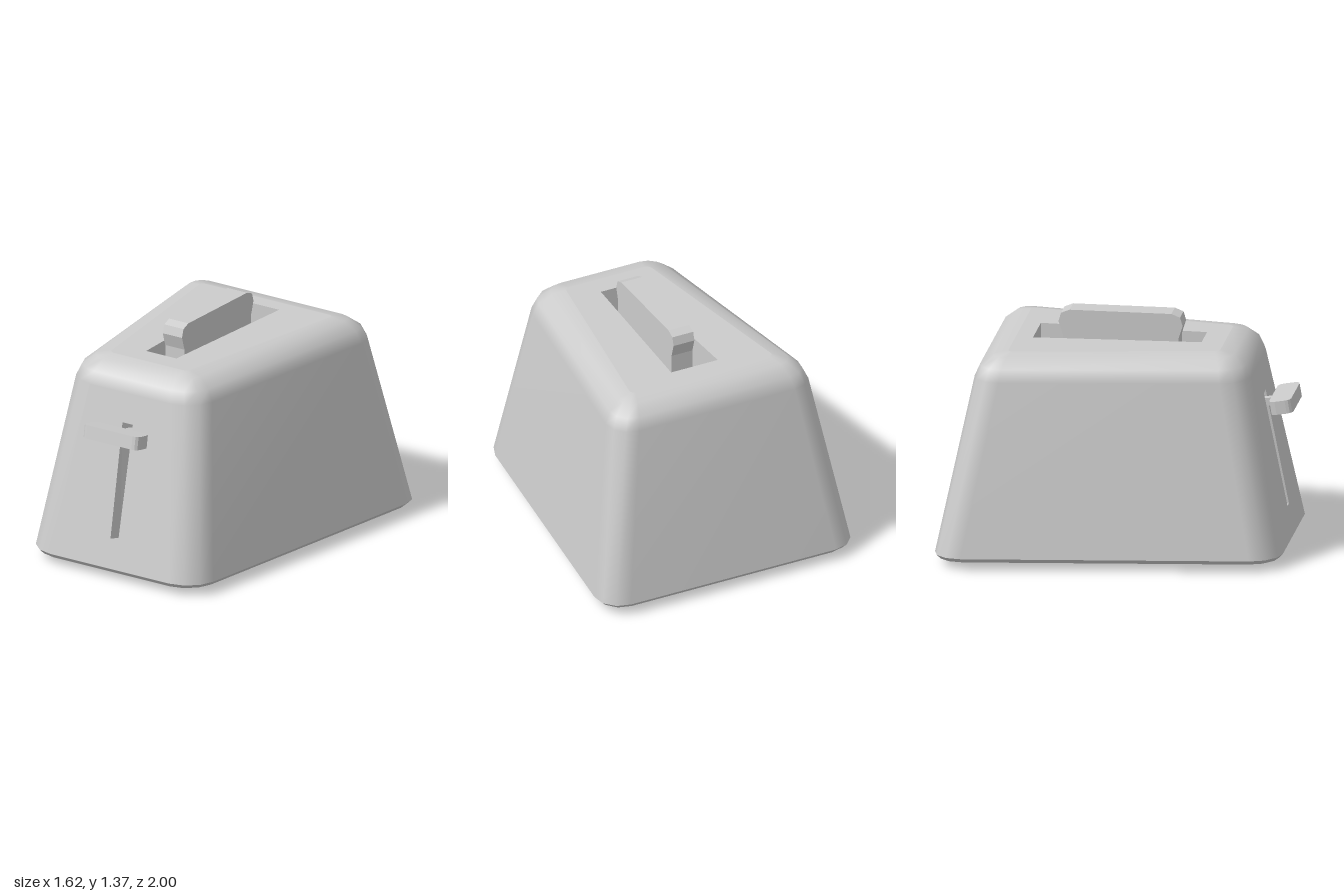
import * as THREE from 'three';

const grey = new THREE.MeshStandardMaterial({ color: 0xcccccc });
const greyBoth = new THREE.MeshStandardMaterial({ color: 0xcccccc, side: THREE.DoubleSide });

function part(name, geometry, material = grey) {
  const mesh = new THREE.Mesh(geometry, material);
  mesh.name = name;
  return mesh;
}

const toPoints = (list) => list.map(([x, y]) => new THREE.Vector2(x, y));

// Rounded trapezoid [x, z] loop: counter-clockwise from above, starting at the front left corner
function section({ back, front, zBack, zFront, r }, steps = 3) {
  const corners = toPoints([[front, zFront], [back, zBack], [-back, zBack], [-front, zFront]]);
  const loop = [];
  corners.forEach((p, i) => {
    const a = corners[(i + 3) % 4].clone().sub(p).normalize();
    const b = corners[(i + 1) % 4].clone().sub(p).normalize();
    for (let k = 0; k <= steps; k++) {
      const t = (k / steps) * Math.PI / 2;
      loop.push(p.clone().addScaledVector(a, r * (1 - Math.sin(t))).addScaledVector(b, r * (1 - Math.cos(t))));
    }
  });
  return loop;
}

// Skin between stacked sections; openBands lists the bands whose front face is left out
function loft(loops, heights, openBands = []) {
  const n = loops[0].length;
  const pos = [], all = [], kept = [];
  loops.forEach((loop, i) => loop.forEach((p) => pos.push(p.x, heights[i], p.y)));
  for (let i = 0; i < loops.length - 1; i++) {
    for (let j = 0; j < n; j++) {
      const a = i * n + j, b = i * n + (j + 1) % n;
      const quad = [a, b, b + n, a, b + n, a + n];
      all.push(...quad);
      if (!(openBands.includes(i) && j === n - 1)) kept.push(...quad);
    }
  }
  const g = new THREE.BufferGeometry();
  g.setAttribute('position', new THREE.Float32BufferAttribute(pos, 3));
  g.setIndex(all);
  g.computeVertexNormals();
  g.setIndex(kept);
  return g;
}

// Flat panel in local XY with a recess going back along -z to a narrower floor
function panelWithSlot(name, outline, mouth, floor, depth) {
  const group = new THREE.Group();
  group.name = name;
  const shape = new THREE.Shape(outline);
  shape.holes.push(new THREE.Path(mouth));
  group.add(part(name + 'Face', new THREE.ShapeGeometry(shape)));

  const pos = [];
  mouth.forEach((p, i) => {
    const k = (i + 1) % mouth.length, q = mouth[k], c = floor[i], d = floor[k];
    pos.push(p.x, p.y, 0, d.x, d.y, -depth, q.x, q.y, 0);
    pos.push(p.x, p.y, 0, c.x, c.y, -depth, d.x, d.y, -depth);
  });
  const walls = new THREE.BufferGeometry();
  walls.setAttribute('position', new THREE.Float32BufferAttribute(pos, 3));
  walls.computeVertexNormals();
  const base = part(name + 'SlotFloor', new THREE.ShapeGeometry(new THREE.Shape(floor)), greyBoth);
  base.position.z = -depth;
  group.add(part(name + 'SlotWalls', walls, greyBoth), base);
  return group;
}

export function createModel() {
  const model = new THREE.Group();

  // Body: tapered shell with a rounded shoulder
  const base = { back: 0.83, front: 0.585, zBack: -1, zFront: 0.98, r: 0.17 };
  const ring = (side, end, r) => section({
    back: base.back - side, front: base.front - side * 0.85,
    zBack: base.zBack + end, zFront: base.zFront - end, r,
  });
  const heights = [0.07, 1.08, 1.15, 1.205, 1.22];
  const rings = [
    ring(0, 0, 0.17), ring(0.17, 0.205, 0.16), ring(0.205, 0.235, 0.14),
    ring(0.28, 0.305, 0.09), ring(0.37, 0.39, 0.03),
  ];
  model.add(part('bodyShell', loft(rings, heights, [0])));

  // Underside with a small bevelled lip
  const under = ring(0.025, 0.02, 0.16);
  model.add(part('baseLip', loft([under, rings[0]], [0.045, 0.07])));
  const bottom = part('underside', new THREE.ShapeGeometry(new THREE.Shape(under)));
  bottom.rotation.x = Math.PI / 2;
  bottom.position.y = 0.045;
  model.add(bottom);

  // Top with the bread slot
  const breadSlot = toPoints([[-0.105, -0.46], [0.105, -0.46], [0.15, 0.51], [-0.15, 0.51]]);
  const topOutline = rings[4].map((p) => new THREE.Vector2(p.x, -p.y));
  const top = panelWithSlot('top', topOutline, breadSlot, breadSlot, 0.7);
  top.rotation.x = -Math.PI / 2;
  top.position.y = 1.22;
  model.add(top);

  // Sloping front with the lever groove
  const rise = heights[1] - heights[0];
  const tilt = Math.atan2(0.205, rise);
  const up = (y) => (y - heights[0]) / Math.cos(tilt);
  const w0 = rings[0][0].x, w1 = rings[1][0].x;
  const frontOutline = toPoints([[-w0, 0], [w0, 0], [w1, up(1.08)], [-w1, up(1.08)]]);
  const groove = toPoints([[-0.018, up(0.24)], [0.036, up(0.24)], [0.044, up(0.91)], [-0.028, up(0.91)]]);
  const grooveFloor = toPoints([[-0.004, up(0.24)], [0.022, up(0.24)], [0.022, up(0.91)], [-0.004, up(0.91)]]);
  const front = panelWithSlot('front', frontOutline, groove, grooveFloor, 0.08);
  front.rotation.x = -tilt;
  front.position.set(0, heights[0], 0.98);
  model.add(front);

  // Lever: rounded knob on a short stem, square to the sloping front
  const lever = new THREE.Group();
  lever.name = 'lever';
  const w = 0.192, d = 0.065;
  const knobShape = new THREE.Shape(section({ back: w, front: w, zBack: -d, zFront: d, r: 0.035 }));
  const knobGeo = new THREE.ExtrudeGeometry(knobShape, { depth: 0.078, bevelEnabled: false });
  knobGeo.translate(0, 0, -0.039).rotateX(-Math.PI / 2);
  const stem = part('leverStem', new THREE.BoxGeometry(0.045, 0.045, 0.14));
  stem.position.z = -0.12;
  lever.add(part('leverKnob', knobGeo), stem);
  lever.rotation.x = -0.17;
  lever.position.set(0.008, 0.872, 0.93);
  model.add(lever);

  // Bread slice standing in the slot
  const slice = new THREE.Shape(toPoints([
    [-0.35, 0.6], [0.32, 0.6], [0.32, 1.22], [0.345, 1.3], [0.33, 1.35], [0.28, 1.37],
    [-0.31, 1.37], [-0.36, 1.35], [-0.375, 1.3], [-0.35, 1.22],
  ]));
  const sliceGeo = new THREE.ExtrudeGeometry(slice, { depth: 0.134, bevelEnabled: false });
  sliceGeo.rotateY(-Math.PI / 2).translate(0.065, 0, 0);
  model.add(part('breadSlice', sliceGeo));

  // Feet
  for (const [x, z, name] of [[0.375, 0.755, 'frontFoot'], [0.553, -0.735, 'backFoot']]) {
    for (const s of [-1, 1]) {
      const foot = part(name, new THREE.BoxGeometry(0.095, 0.05, 0.095));
      foot.position.set(s * x - 0.007, 0.025, z);
      model.add(foot);
    }
  }
  return model;
}
